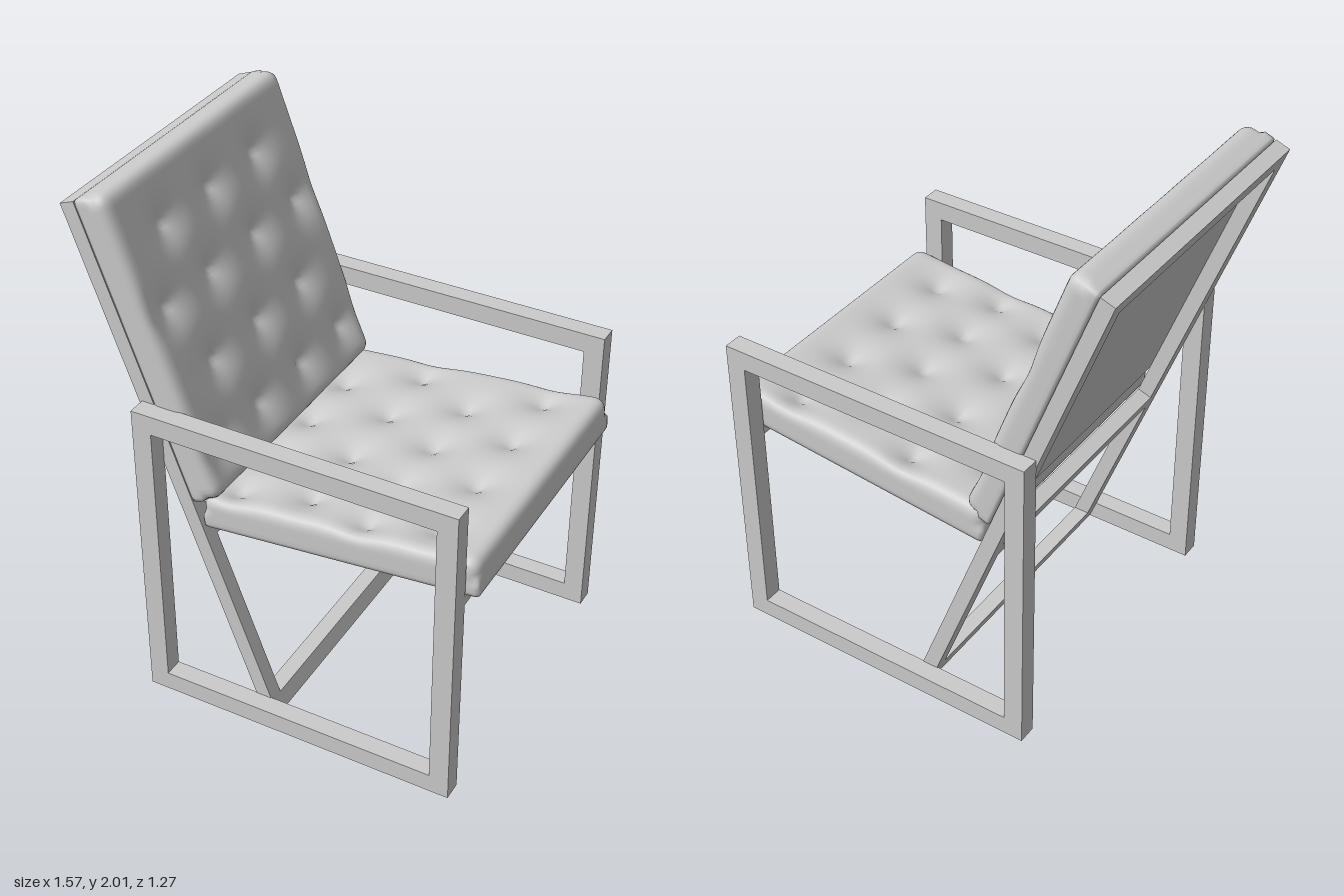
import * as THREE from 'three';
import { mergeVertices } from 'three/addons/utils/BufferGeometryUtils.js';

const LEAN = 0.369; // slope of the back frame
const material = new THREE.MeshStandardMaterial({ color: 0xcccccc });

function add(parent, name, geometry) {
  const mesh = new THREE.Mesh(geometry, material);
  mesh.name = name;
  parent.add(mesh);
  return mesh;
}

// Box given by its ranges
function bar(x0, x1, y0, y1, z0, z1) {
  return new THREE.BoxGeometry(x1 - x0, y1 - y0, z1 - z0)
    .translate((x0 + x1) / 2, (y0 + y1) / 2, (z0 + z1) / 2);
}

// Cuts the low end of a leaning bar level with the floor
function levelFoot(g) {
  const pos = g.attributes.position;
  for (let i = 0; i < pos.count; i++) {
    if (pos.getY(i) < 0.1) pos.setY(i, pos.getY(i) - LEAN * pos.getX(i));
  }
  g.computeVertexNormals();
  return g;
}

// Flat rectangular ring extruded along z
function sideFrame(x0, x1, h, t, depth) {
  const rect = (s, a, b, c, d) => s.moveTo(a, b).lineTo(c, b).lineTo(c, d).lineTo(a, d).closePath();
  const shape = rect(new THREE.Shape(), x0, 0, x1, h);
  shape.holes.push(rect(new THREE.Path(), x0 + t, t, x1 - t, h - t));
  return new THREE.ExtrudeGeometry(shape, { depth, bevelEnabled: false });
}

// Tufted cushion: flat underside at y = 0, soft top edges, a dimple at each button
function cushion(length, thick, width, tufts) {
  let g = new THREE.BoxGeometry(length, thick, width, 64, 8, 64);
  g.deleteAttribute('uv');
  g.deleteAttribute('normal');
  g = mergeVertices(g);
  const pos = g.attributes.position;
  const p = new THREE.Vector3(), core = new THREE.Vector3(), low = new THREE.Vector3(), high = new THREE.Vector3();
  for (let i = 0; i < pos.count; i++) {
    p.fromBufferAttribute(pos, i);
    const r = p.y < 0 ? 0.012 : 0.045;
    high.set(length / 2 - r, thick / 2 - r, width / 2 - r);
    low.copy(high).negate();
    core.copy(p).clamp(low, high);
    const out = p.clone().sub(core);
    if (out.lengthSq() > 1e-10) p.copy(core).addScaledVector(out.normalize(), r);
    const level = THREE.MathUtils.smoothstep(p.y, -thick * 0.1, thick / 2);
    let dent = 0;
    for (const [x, z] of tufts) {
      const dist = Math.hypot(p.x - x, p.z - z);
      dent += 0.035 * Math.exp(-dist / 0.045) + 0.018 * Math.exp(-dist * dist / 0.009);
    }
    p.y += thick / 2 - dent * level;
    pos.setXYZ(i, p.x, p.y, p.z);
  }
  g.computeVertexNormals();
  return g;
}

// Staggered rows of buttons
function buttons(rows, even, odd) {
  return rows.flatMap((x, i) => (i % 2 ? odd : even).map(z => [x, z]));
}

export function createModel() {
  const chair = new THREE.Group();
  chair.name = 'armchair';

  // Arm and leg frames on both sides
  for (const z of [0.562, -0.635]) {
    add(chair, 'sideFrame', sideFrame(-0.512, 0.738, 1.255, 0.076, 0.073)).position.z = z;
  }
  add(chair, 'frontCrossbar', bar(0.665, 0.738, 0.845, 0.88, -0.565, 0.565));

  // Leaning back frame, its front face on local x = 0
  const back = new THREE.Group();
  back.name = 'backFrame';
  back.rotation.z = Math.atan(LEAN);
  chair.add(back);
  for (const z of [-0.535, 0.535]) {
    add(back, 'backUpright', levelFoot(bar(-0.058, 0, 0, 2.107, z - 0.03, z + 0.03)));
  }
  add(back, 'floorCrossbar', levelFoot(bar(-0.058, 0, 0, 0.067, -0.505, 0.505)));
  add(back, 'seatCrossbar', bar(-0.058, 0, 0.775, 0.835, -0.505, 0.505));
  add(back, 'topCrossbar', bar(-0.058, 0, 2.047, 2.107, -0.505, 0.505));

  // Back cushion
  const backCushion = add(back, 'backCushion', cushion(1.172, 0.122, 1.135,
    buttons([-0.37, -0.117, 0.158, 0.418], [-0.3, 0, 0.3], [-0.44, -0.15, 0.15, 0.43])));
  backCushion.rotation.z = -Math.PI / 2;
  backCushion.position.y = 1.526;

  // Seat cushion, rising towards the front
  const seat = new THREE.Group();
  seat.name = 'seat';
  seat.position.set(-0.288, 0.78, 0);
  seat.rotation.z = 0.098;
  chair.add(seat);
  add(seat, 'seatCushion', cushion(1.08, 0.142, 1.115,
    buttons([-0.43, -0.17, 0.08, 0.33], [-0.31, -0.04, 0.22, 0.46], [-0.45, -0.17, 0.12, 0.4]))).position.x = 0.54;

  return chair;
}
